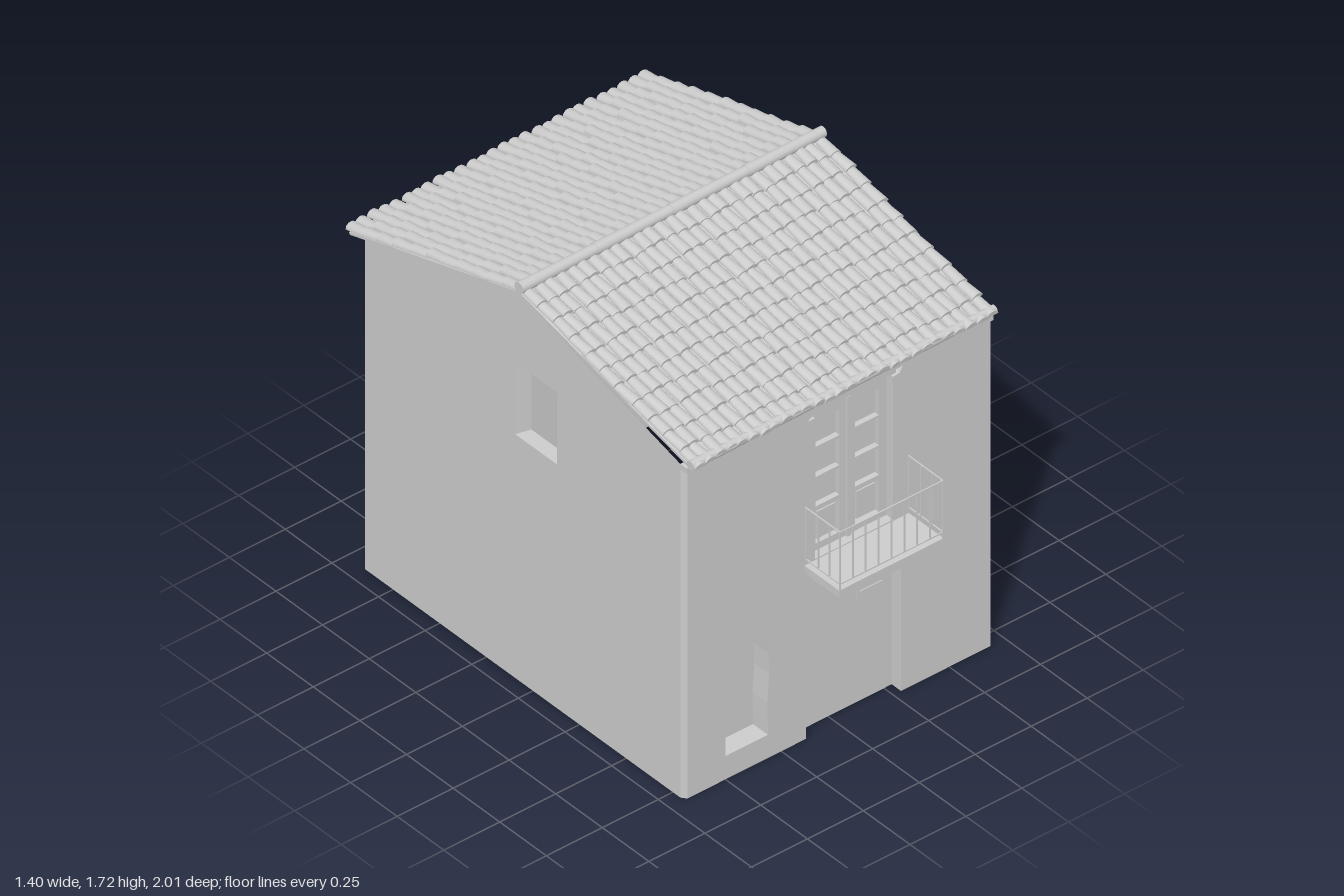
import * as THREE from 'three';
import { mergeGeometries } from 'three/addons/utils/BufferGeometryUtils.js';

const mat = new THREE.MeshStandardMaterial({ color: 0xcccccc, side: THREE.DoubleSide });
const X = 0.685, FRONT = 0.81, BACK = -0.9, RIDGE_Z = -0.08;

const toPts = (a) => a.map(([x, y]) => new THREE.Vector2(x, y));

function add(parent, name, geo, x = 0, y = 0, z = 0) {
  const m = new THREE.Mesh(geo, mat);
  m.name = name;
  m.position.set(x, y, z);
  parent.add(m);
  return m;
}

// Box given by its limits
function block(parent, name, x0, x1, y0, y1, z0, z1) {
  return add(parent, name, new THREE.BoxGeometry(x1 - x0, y1 - y0, z1 - z0),
    (x0 + x1) / 2, (y0 + y1) / 2, (z0 + z1) / 2);
}

// Flat-shaded band joining two outlines at different depths
function reveal(front, back, z0, z1, closed) {
  const pos = [], n = front.length;
  for (let i = 0; i < (closed ? n : n - 1); i++) {
    const j = (i + 1) % n;
    const a = [...front[i], z0], b = [...front[j], z0], c = [...back[j], z1], d = [...back[i], z1];
    pos.push(...a, ...b, ...c, ...a, ...c, ...d);
  }
  const g = new THREE.BufferGeometry();
  g.setAttribute('position', new THREE.Float32BufferAttribute(pos, 3));
  g.computeVertexNormals();
  return g;
}

// Door opening with a shallow arched head
function archOutline(x0, x1, spring, crown) {
  const pts = [[x0, 0]];
  for (let i = 0; i <= 12; i++) {
    const t = i / 12;
    pts.push([x0 + (x1 - x0) * t, spring + (crown - spring) * 4 * t * (1 - t)]);
  }
  pts.push([x1, 0]);
  return pts;
}

function createFacade() {
  const g = new THREE.Group();
  g.name = 'frontWall';
  const arch = archOutline(-0.14, 0.285, 0.625, 0.652);
  const archIn = archOutline(-0.14, 0.285, 0.605, 0.63);
  const niche = [[-0.5, 0.1], [-0.31, 0.1], [-0.312, 0.24], [-0.305, 0.36], [-0.307, 0.45], [-0.315, 0.53], [-0.5, 0.53]];
  // Balcony opening with broken plaster around the lintel
  const opening = [[-0.1, 0.755], [0.25, 0.755], [0.25, 1.37], [0.28, 1.375], [0.295, 1.4],
    [0.21, 1.405], [0.03, 1.402], [-0.02, 1.38], [-0.12, 1.372], [-0.13, 1.36], [-0.1, 1.362]];

  const wall = new THREE.Shape(toPts([[-0.67, 0], ...arch, [X, 0], [X, 1.435], [-0.67, 1.435]]));
  wall.holes.push(new THREE.Path(toPts(niche)), new THREE.Path(toPts(opening)));
  add(g, 'facade', new THREE.ShapeGeometry(wall), 0, 0, FRONT);
  // Chamfered left corner
  add(g, 'cornerChamfer', reveal([[-0.67, 0], [-0.67, 1.435]], [[-X, 0], [-X, 1.435]], FRONT, 0.79));

  const recess = (name, front, back, depth, closed) => {
    add(g, name + 'Reveal', reveal(front, back, FRONT, FRONT - depth, closed));
    add(g, name + 'Panel', new THREE.ShapeGeometry(new THREE.Shape(toPts(back))), 0, 0, FRONT - depth);
  };
  recess('streetDoor', arch, archIn, 0.05, false);
  recess('niche', niche, niche, 0.08, true);
  recess('balconyOpening', opening, opening, 0.06, true);
  block(g, 'lintel', -0.08, 0.27, 1.372, 1.398, 0.76, 0.8);
  block(g, 'cornice', -X, X, 1.412, 1.437, 0.79, 0.825);

  // Slatted plate on the street door
  block(g, 'plate', 0.125, 0.245, 0.45, 0.56, 0.758, 0.766);
  for (let i = 0; i < 4; i++) block(g, 'plateSlat', 0.135, 0.235, 0.47 + i * 0.023, 0.478 + i * 0.023, 0.765, 0.77);
  return g;
}

function createBalconyDoors() {
  const g = new THREE.Group();
  g.name = 'balconyDoors';
  for (const [x0, x1] of [[-0.1, 0.074], [0.076, 0.25]]) {
    const a = x0 + 0.033, b = x1 - 0.035;
    const leaf = new THREE.Shape(toPts([[x0, 0.756], [x1, 0.756], [x1, 1.355], [x0, 1.355]]));
    for (const [y0, y1] of [[0.785, 0.925], [0.945, 1.06], [1.072, 1.19], [1.202, 1.315]])
      leaf.holes.push(new THREE.Path(toPts([[a, y0], [b, y0], [b, y1], [a, y1]])));
    add(g, 'doorLeaf', new THREE.ExtrudeGeometry(leaf, { depth: 0.022, bevelEnabled: false }), 0, 0, 0.753);
    block(g, 'lowerPanel', a + 0.012, b - 0.012, 0.797, 0.913, 0.752, 0.768);
  }
  block(g, 'meetingStile', 0.066, 0.084, 0.756, 1.355, 0.76, 0.785);
  return g;
}

function createBalcony() {
  const g = new THREE.Group();
  g.name = 'balcony';
  block(g, 'slab', -0.147, 0.32, 0.725, 0.75, FRONT, 0.997);
  block(g, 'slabMoulding', -0.135, 0.308, 0.703, 0.725, FRONT, 0.985);
  const x0 = -0.143, x1 = 0.317, z1 = 0.996, r = 0.0025;
  for (const y of [0.777, 0.998]) {
    block(g, 'frontRail', x0, x1, y - r, y + r, z1 - r, z1 + r);
    for (const x of [x0, x1]) block(g, 'sideRail', x - r, x + r, y - r, y + r, FRONT, z1);
  }
  const bar = (x, z, y0) => block(g, 'baluster', x - r, x + r, y0, 0.998, z - r, z + r);
  for (let i = 0; i <= 8; i++) bar(x0 + (x1 - x0) * i / 8, z1, i % 8 ? 0.777 : 0.75);
  for (const x of [x0, x1]) for (const z of [0.815, 0.88, 0.94]) bar(x, z, 0.777);
  return g;
}

// Gable wall drawn in (z, y), with a reveal going inwards
function createGable(side) {
  const g = new THREE.Group();
  g.name = side > 0 ? 'leftGable' : 'rightGable';
  const front = side > 0 ? FRONT : 0.79;
  const wall = new THREE.Shape(toPts([[BACK, 0], [front, 0], [front, 1.437], [RIDGE_Z, 1.667], [BACK, 1.427]]));
  const win = [[-0.095, 1.05], [0.13, 1.05], [0.13, 1.36], [-0.095, 1.36]];
  const inner = win.map(([z, y]) => [z < 0 ? z + 0.015 : z, y]);
  wall.holes.push(new THREE.Path(toPts(win)));
  add(g, 'gableWall', new THREE.ShapeGeometry(wall));
  add(g, 'windowReveal', reveal(win, inner, 0, side * 0.06, true));
  g.rotation.y = -Math.PI / 2;
  g.position.x = side * X;
  return g;
}

// One roof slope: local y runs up to the ridge, local z points outwards
function createSlope(run, drop, back) {
  const len = Math.hypot(run, drop), cols = 28, rows = 11, w = 1.37, pitch = len / rows;
  const slope = new THREE.Group();
  slope.name = back ? 'backSlope' : 'frontSlope';
  const plane = new THREE.Group();
  plane.rotation.x = -(Math.PI / 2 - Math.atan2(drop, run));
  slope.add(plane);
  block(plane, 'roofBoard', -w / 2, w / 2, -len + 0.01, 0, -0.01, 0);

  // Tapered barrel tile with a closed lower end
  const barrel = new THREE.CylinderGeometry(0.021, 0.0255, pitch * 1.12, 8, 1, true, -Math.PI / 2, Math.PI);
  const end = new THREE.CircleGeometry(0.0255, 8, 0, Math.PI);
  end.rotateX(Math.PI / 2);
  end.translate(0, -pitch * 0.56, 0);
  const tile = mergeGeometries([barrel, end]);
  tile.scale(1, 1, 0.8);
  tile.rotateX(-0.07);

  const tiles = [];
  for (let c = 0; c < cols; c++) for (let r = 0; r < rows; r++) {
    const t = tile.clone();
    t.rotateZ(0.05 * Math.sin(c * 3.7 + r * 2.3));
    t.translate(-w / 2 + (c + 0.5) * w / cols + 0.004 * Math.sin(c * 2.1 + r * 0.9),
      -(r + 0.5) * pitch + 0.005 * Math.sin(c * 5.3 + r * 1.7),
      0.004 + 0.002 * Math.sin(c * 4.1 + r * 3.1));
    tiles.push(t);
  }
  add(plane, 'tiles', mergeGeometries(tiles));
  if (back) slope.rotation.y = Math.PI;
  slope.position.set(0, 1.675, RIDGE_Z);
  return slope;
}

function createRoof() {
  const g = new THREE.Group();
  g.name = 'roof';
  g.add(createSlope(0.92, 0.235, false), createSlope(0.91, 0.262, true));
  // Long round capping along the ridge and the front eave
  for (const [name, y, z, r] of [['ridgeCap', 1.694, RIDGE_Z, 0.024], ['eaveRoll', 1.45, 0.826, 0.02]]) {
    for (let i = 0; i < 4; i++) {
      const cap = new THREE.CylinderGeometry(r, r * 0.9, 0.35, 12);
      cap.rotateZ(Math.PI / 2);
      add(g, name, cap, -0.512 + i * 0.341, y, z);
    }
  }
  g.rotation.y = 0.012;
  return g;
}

export function createModel() {
  const house = new THREE.Group();
  house.name = 'house';
  add(house, 'backWall', new THREE.PlaneGeometry(2 * X, 1.427), 0, 1.427 / 2, BACK).rotation.y = Math.PI;
  house.add(createFacade(), createBalconyDoors(), createBalcony(),
    createGable(1), createGable(-1), createRoof());
  return house;
}
